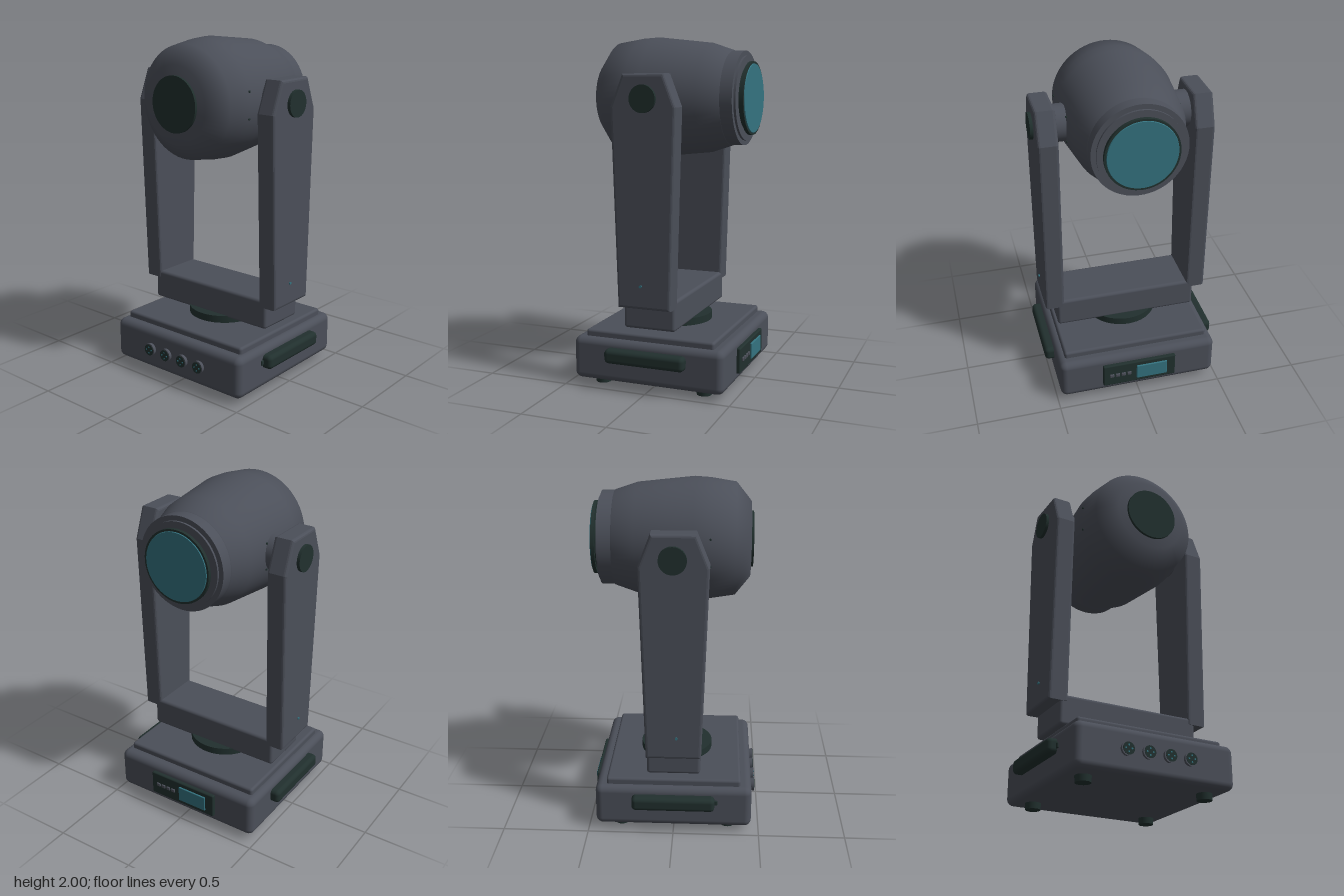
import * as THREE from 'three';
import { RoundedBoxGeometry } from 'three/addons/geometries/RoundedBoxGeometry.js';

export function createModel() {
  const root = new THREE.Group();
  const mat = (name, color) => {
    const m = new THREE.MeshStandardMaterial({ color });
    m.name = name;
    return m;
  };
  const body = mat('body grey', 0x4b4f59);
  const dark = mat('dark rubber', 0x21302e);
  const teal = mat('teal glass', 0x347380);

  const add = (name, geo, material, x = 0, y = 0, z = 0, parent = root) => {
    const m = new THREE.Mesh(geo, material);
    m.name = name;
    m.position.set(x, y, z);
    parent.add(m);
    return m;
  };
  const box = (w, h, d, r) => new RoundedBoxGeometry(w, h, d, 4, r);
  // Cylinders along each axis; r2 is the radius at the negative end
  const cylY = (r, h, r2 = r, n = 48) => new THREE.CylinderGeometry(r, r2, h, n);
  const cylZ = (r, h, r2 = r, n = 48) => cylY(r, h, r2, n).rotateX(Math.PI / 2);
  const cylX = (r, h, n = 48) => cylY(r, h, r, n).rotateZ(-Math.PI / 2);

  // Base with top plate, turntable and feet
  add('base', box(0.96, 0.25, 0.91, 0.04), body, 0, 0.162, 0);
  add('topPlate', box(0.88, 0.08, 0.78, 0.015), body, 0, 0.285, 0);
  add('turntable', cylY(0.215, 0.06), dark, 0, 0.338, 0);
  for (const x of [-0.367, 0.367])
    for (const z of [-0.31, 0.317]) add('foot', cylY(0.046, 0.06, 0.043, 24), dark, x, 0.03, z);

  // Front sockets with pins
  for (const x of [-0.19, -0.064, 0.063, 0.189]) {
    const socket = new THREE.Group();
    socket.name = 'socket';
    socket.position.set(x, 0.165, 0.45);
    root.add(socket);
    add('socketShell', cylZ(0.041, 0.03, 0.034, 32), body, 0, 0, 0.013, socket);
    add('socketFace', cylZ(0.034, 0.004, 0.034, 32), dark, 0, 0, 0.028, socket);
    for (let i = 0; i < 4; i++) {
      const a = (i * Math.PI) / 2;
      add('socketPin', cylZ(0.005, 0.004, 0.005, 10), teal,
        0.018 * Math.cos(a), 0.018 * Math.sin(a), 0.03, socket);
    }
  }

  // Rear control panel
  add('controlPanel', box(0.45, 0.15, 0.03, 0.008), dark, 0, 0.165, -0.461);
  add('screen', box(0.19, 0.095, 0.014, 0.004), teal, -0.075, 0.165, -0.478);
  for (let i = 0; i < 4; i++)
    add('panelButton', box(0.026, 0.022, 0.014, 0.004), body, 0.066 + i * 0.036, 0.165, -0.477);

  // Yoke crossbar
  add('crossbar', box(0.86, 0.175, 0.31, 0.018), body, 0, 0.443, 0);

  // Tapered arm with clipped top corners, extruded along x
  const armShape = new THREE.Shape([
    [0.16, 0.49], [0.197, 1.61], [0.125, 1.79], [-0.117, 1.79], [-0.187, 1.61], [-0.155, 0.49],
  ].map(([z, y]) => new THREE.Vector2(z, y)).reverse());
  const bevel = 0.016;
  const armGeo = new THREE.ExtrudeGeometry(armShape, {
    depth: 0.117 - 2 * bevel, bevelThickness: bevel, bevelSize: bevel, bevelOffset: -bevel, bevelSegments: 3,
  }).translate(0, 0, -(0.117 - 2 * bevel) / 2).rotateY(-Math.PI / 2);

  for (const s of [-1, 1]) {
    add('arm', armGeo, body, s * 0.4435, 0, 0);
    add('pivotShaft', cylX(0.106, 0.12), body, s * 0.34, 1.655, 0);
    add('pivotCap', cylX(0.076, 0.04), dark, s * 0.5, 1.655, 0);
    add('armLight', cylX(0.008, 0.012, 16), teal, s * 0.503, 0.622, 0.02);
    add('handle', box(0.08, 0.083, 0.48, 0.025), dark, s * 0.494, 0.203, 0);
    add('handleStud', box(0.02, 0.03, 0.03, 0.005), dark, s * 0.478, 0.2, 0.242);
    for (const dy of [-0.075, 0.075])
      for (const [z, x] of [[0.195, 0.333], [-0.085, 0.32]])
        add('headScrew', cylX(0.006, 0.012, 12), dark, s * x, 1.65 + dy, z);
  }

  // Head: a barrel turned around the z axis
  const head = new THREE.Group();
  head.name = 'head';
  head.position.set(0, 1.65, 0);
  root.add(head);
  const barrel = [
    [0.255, -0.36], [0.272, -0.35], [0.314, -0.225], [0.333, -0.05], [0.349, 0.1],
    [0.343, 0.19], [0.32, 0.335], [0.215, 0.42], [0, 0.421],
  ].map(([r, z]) => new THREE.Vector2(r, z));
  add('barrel', new THREE.LatheGeometry(barrel, 64).rotateX(Math.PI / 2), body, 0, 0, 0, head);
  add('frontDisc', cylZ(0.158, 0.03), dark, 0, 0, 0.42, head);

  // Lens end
  add('collar', cylZ(0.268, 0.085, 0.268, 64), body, 0, 0, -0.382, head);
  add('collarStep', cylZ(0.24, 0.02, 0.24, 64), body, 0, 0, -0.427, head);
  add('lensNeck', cylZ(0.185, 0.025, 0.185, 64), dark, 0, 0, -0.445, head);
  add('lensRim', cylZ(0.208, 0.02, 0.208, 64), dark, 0, 0, -0.461, head);
  add('lens', cylZ(0.198, 0.008, 0.194, 64), teal, 0, 0, -0.472, head);

  return root;
}
